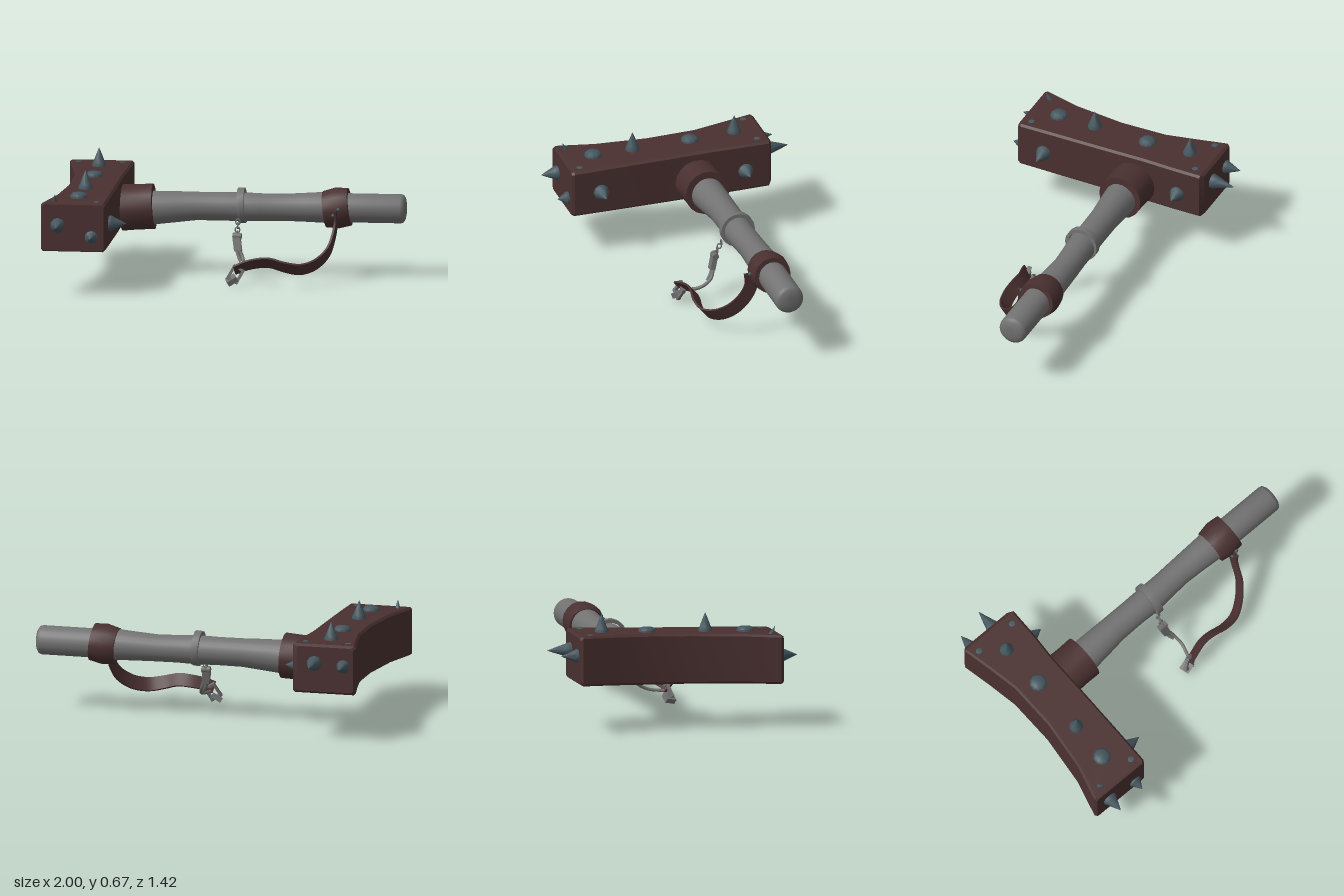
import * as THREE from 'three';
import { toCreasedNormals } from 'three/addons/utils/BufferGeometryUtils.js';

const V = (x, y, z) => new THREE.Vector3(x, y, z);
const material = (name, color) => {
  const m = new THREE.MeshStandardMaterial({ color });
  m.name = name;
  return m;
};

// Skin a list of equal-sized rings and close both ends.
function loft(rings, crease) {
  const n = rings[0].length, last = rings.length - 1, index = [];
  for (let i = 0; i < last; i++) {
    for (let j = 0; j < n; j++) {
      const k = (j + 1) % n;
      const a = i * n + j, b = i * n + k, c = a + n, d = b + n;
      index.push(a, b, d, a, d, c);
    }
  }
  for (let j = 1; j < n - 1; j++) {
    index.push(0, j + 1, j, last * n, last * n + j, last * n + j + 1);
  }
  const g = new THREE.BufferGeometry().setFromPoints(rings.flat());
  g.setIndex(index);
  return toCreasedNormals(g, crease);
}

export function createModel() {
  const brown = material('dark leather brown', 0x4a3030);
  const grey = material('worn grey', 0x727272);
  const steel = material('blue steel', 0x45575f);
  const model = new THREE.Group();
  model.name = 'spikedHammer';

  const add = (name, geometry, mat, pos, parent = model) => {
    const mesh = new THREE.Mesh(geometry, mat);
    mesh.name = name;
    if (pos) mesh.position.copy(pos);
    parent.add(mesh);
    return mesh;
  };

  // Head: chamfered rectangles along z, with a waisted outer side
  const section = ([z, x0, x1, y0, y1]) => {
    const c = 0.012;
    return [[x1, y0 + c], [x1, y1 - c], [x1 - c, y1], [x0 + c, y1],
      [x0, y1 - c], [x0, y0 + c], [x0 + c, y0], [x1 - c, y0]].map(([x, y]) => V(x, y, z));
  };
  add('head', loft([
    [-0.572, -0.955, -0.625, 0.285, 0.545],
    [-0.555, -0.968, -0.6, 0.272, 0.557],
    [-0.38, -0.932, -0.605, 0.266, 0.553],
    [-0.2, -0.9, -0.617, 0.258, 0.547],
    [0.08, -0.9, -0.62, 0.254, 0.54],
    [0.38, -0.938, -0.625, 0.25, 0.533],
    [0.595, -0.998, -0.63, 0.247, 0.526],
    [0.61, -0.99, -0.638, 0.253, 0.52],
  ].map(section), 0.45), brown);

  // Handle: slightly crooked shaft with a rounded butt
  const shaft = [
    [-0.64, 0.37, -0.135, 0.1], [-0.44, 0.37, -0.135, 0.096], [-0.32, 0.377, -0.14, 0.089],
    [-0.2, 0.383, -0.146, 0.081], [-0.05, 0.384, -0.148, 0.08], [0.06, 0.384, -0.147, 0.083],
    [0.18, 0.384, -0.153, 0.078], [0.3, 0.384, -0.16, 0.077], [0.42, 0.387, -0.16, 0.082],
    [0.55, 0.39, -0.158, 0.089], [0.68, 0.39, -0.158, 0.083], [0.97, 0.391, -0.158, 0.083],
    [0.984, 0.391, -0.158, 0.079], [0.994, 0.391, -0.158, 0.064], [1, 0.391, -0.158, 0.035],
  ];
  add('handle', loft(shaft.map(([x, y, z, r]) => Array.from({ length: 24 }, (_, i) => {
    const a = i / 24 * Math.PI * 2;
    return V(x, y + r * Math.cos(a), z + r * Math.sin(a));
  })), 0.9), grey);

  // Sleeves: hollow bands around the shaft
  const sleeve = (name, mat, pos, r0, rMid, r1, inner, width, tilt) => {
    const h = width / 2;
    const profile = [[inner, -h], [r0, -h], [rMid, 0], [r1, h], [inner, h], [inner, -h]];
    const g = toCreasedNormals(new THREE.LatheGeometry(
      profile.map(([r, y]) => new THREE.Vector2(r, y)), 18), 0.6);
    add(name, g, mat, pos).rotation.z = -Math.PI / 2 + tilt;
  };
  sleeve('headCollar', brown, V(-0.53, 0.373, -0.133), 0.132, 0.128, 0.13, 0.09, 0.185, 0.06);
  sleeve('gripBand', brown, V(0.605, 0.388, -0.156), 0.103, 0.116, 0.107, 0.08, 0.145, 0.12);
  sleeve('handleRing', grey, V(0.063, 0.393, -0.145), 0.1, 0.101, 0.1, 0.08, 0.04, 0.05);

  // Spikes, low studs and corner nails, each pointing along its own direction
  const point = (name, profile, pos, dir) => {
    const g = toCreasedNormals(new THREE.LatheGeometry(
      profile.map(([r, y]) => new THREE.Vector2(r, y)), 10), 0.8);
    add(name, g, steel, pos).quaternion.setFromUnitVectors(V(0, 1, 0), dir);
  };
  const spike = (pos, dir, length, r = 0.04) => point('spike',
    [[r, -0.015], [r, 0.012], [r * 0.82, length * 0.25], [r * 0.4, length * 0.65], [0, length]], pos, dir);
  const stud = (pos) => point('stud',
    [[0.05, -0.01], [0.05, 0.01], [0.036, 0.024], [0, 0.027]], pos, V(0, 1, 0));
  const up = V(0, 1, 0), side = V(1, 0, 0), front = V(0, 0, 1), back = V(0, 0, -1);
  spike(V(-0.785, 0.551, -0.405), up, 0.108);
  spike(V(-0.79, 0.537, 0.2), up, 0.108);
  stud(V(-0.78, 0.545, -0.138));
  stud(V(-0.8, 0.532, 0.432));
  spike(V(-0.605, 0.393, -0.415), side, 0.088, 0.044);
  spike(V(-0.626, 0.385, 0.44), side, 0.1, 0.045);
  spike(V(-0.9, 0.4, 0.61), front, 0.1, 0.042);
  spike(V(-0.708, 0.335, 0.61), front, 0.065, 0.037);
  spike(V(-0.73, 0.45, -0.57), back, 0.14, 0.043);
  spike(V(-0.898, 0.44, -0.57), back, 0.1, 0.038);
  for (const [x, y, z] of [[-0.91, 0.553, -0.5], [-0.66, 0.553, -0.5], [-0.685, 0.523, 0.55]]) {
    point('cornerNail', [[0.018, -0.01], [0.018, 0.006], [0, 0.009]], V(x, y, z), up);
  }
  point('bentNail', [[0.016, -0.01], [0.014, 0.008], [0, 0.058]], V(-0.925, 0.52, 0.55),
    V(0.1, 1, 0.5).normalize());

  // Wrist strap: flat ribbon swept along a hanging curve
  const path = new THREE.CatmullRomCurve3([
    V(0.06, 0.085, 0.205), V(0.11, 0.105, 0.19), V(0.19, 0.122, 0.17), V(0.26, 0.125, 0.172),
    V(0.34, 0.105, 0.18), V(0.43, 0.09, 0.165), V(0.51, 0.11, 0.115), V(0.575, 0.17, 0.045),
    V(0.6, 0.25, -0.02), V(0.61, 0.33, -0.05), V(0.612, 0.4, -0.042)]);
  const ribbon = [];
  for (let i = 0; i <= 40; i++) {
    const u = i / 40, p = path.getPointAt(u), t = path.getTangentAt(u);
    const w = V(0, 0.77, 0.64).addScaledVector(t, -t.dot(V(0, 0.77, 0.64))).normalize();
    const n = t.clone().cross(w);
    const half = 0.036 + 0.006 * Math.sin(u * Math.PI);
    ribbon.push([[1, 1], [-1, 1], [-1, -1], [1, -1]].map(([a, b]) =>
      p.clone().addScaledVector(w, a * half).addScaledVector(n, b * 0.006)));
  }
  add('wristStrap', loft(ribbon, 0.7), brown);
  for (const [x, y] of [[0.595, 0.365], [0.625, 0.4]]) {
    add('strapRivet', new THREE.SphereGeometry(0.011, 8, 6), steel, V(x, y, -0.037));
  }

  // Chain and clip between the ring and the strap
  const clip = new THREE.Group();
  clip.name = 'chainAndClip';
  model.add(clip);
  for (let i = 0; i < 4; i++) {
    const link = add('chainLink', new THREE.TorusGeometry(0.013, 0.004, 6, 10), grey,
      V(0.05, 0.315 - i * 0.021, -0.055 + i * 0.012), clip);
    link.rotation.y = i % 2 * Math.PI / 2;
    link.scale.y = 1.2;
  }
  const body = add('clipBody', new THREE.BoxGeometry(0.045, 0.085, 0.03), grey, V(0.052, 0.2, -0.005), clip);
  body.rotation.set(-0.25, 0, 0.15);
  const joint = add('clipJoint', new THREE.CylinderGeometry(0.019, 0.019, 0.05, 10), grey, V(0.05, 0.24, -0.015), clip);
  joint.rotation.z = Math.PI / 2;
  const hook = (name, pts) => add(name, new THREE.TubeGeometry(
    new THREE.CatmullRomCurve3(pts), 16, 0.01, 6), grey, null, clip);
  hook('clipHook', [V(0.062, 0.175, -0.005), V(0.088, 0.115, 0.02), V(0.1, 0.075, 0.09), V(0.075, 0.065, 0.185)]);
  hook('clipGate', [V(0.05, 0.165, 0), V(0.062, 0.13, 0.015), V(0.08, 0.1, 0.04)]);

  // Buckle at the free end of the strap
  const buckle = new THREE.Group();
  buckle.name = 'buckle';
  buckle.position.set(0.066, 0.06, 0.2);
  buckle.rotation.set(-0.2, 0.2, -0.5);
  clip.add(buckle);
  for (const s of [-1, 1]) {
    add('buckleSide', new THREE.BoxGeometry(0.016, 0.09, 0.018), grey, V(s * 0.028, 0, 0), buckle);
    add('buckleBar', new THREE.BoxGeometry(0.072, 0.016, 0.024), grey, V(0, s * 0.038, 0), buckle);
  }
  add('buckleFoot', new THREE.BoxGeometry(0.06, 0.03, 0.06), grey, V(0.044, 0.027, 0.2), clip)
    .rotation.set(0.2, 0.3, 0.5);
  return model;
}
